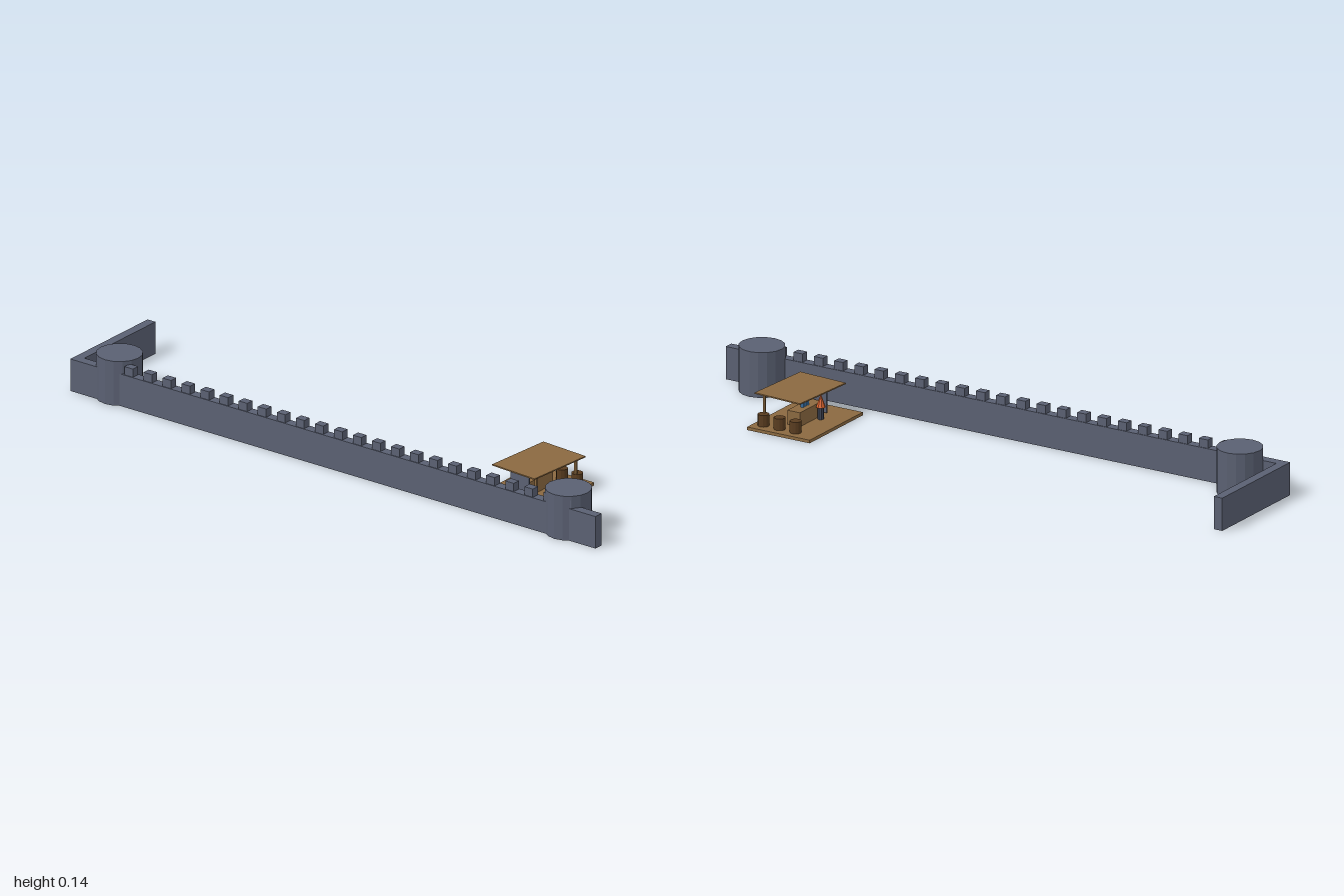
import * as THREE from 'three';

export function createModel() {
  const model = new THREE.Group();
  model.name = 'castleWallWithStall';

  const mat = (name, color) => {
    const m = new THREE.MeshStandardMaterial({ color });
    m.name = name;
    m.flatShading = true;
    return m;
  };
  const stone = mat('stone', 0x5a6072);
  const wood = mat('wood', 0x8b6940);
  const darkWood = mat('darkWood', 0x5a3d20);
  const blue = mat('blueGlass', 0x4a90d0);
  const orange = mat('orangeCloth', 0xd9622b);
  const darkCloth = mat('darkCloth', 0x3e4454);

  const add = (name, geo, material, x, y, z, parent = model) => {
    const mesh = new THREE.Mesh(geo, material);
    mesh.name = name;
    mesh.position.set(x, y, z);
    parent.add(mesh);
    return mesh;
  };
  // box given by its centre in x and z and its underside in y
  const box = (name, material, w, h, d, x, y, z, parent) =>
    add(name, new THREE.BoxGeometry(w, h, d), material, x, y + h / 2, z, parent);
  // cylinder or cone standing on y
  const cyl = (name, material, rTop, rBottom, h, sides, x, y, z, parent) =>
    add(name, new THREE.CylinderGeometry(rTop, rBottom, h, sides), material, x, y + h / 2, z, parent);

  // long wall and the return wall at the back
  box('longWall', stone, 0.031, 0.105, 2, -0.1685, 0, 0);
  box('backWall', stone, 0.384, 0.105, 0.03, 0.008, 0, -0.985);

  // battlements along the long wall
  const battlements = new THREE.Group();
  battlements.name = 'battlements';
  model.add(battlements);
  for (let i = 0; i < 25; i++) {
    box('merlon', stone, 0.026, 0.027, 0.032, -0.1685, 0.105, 0.888 - i * 0.0725, battlements);
  }

  // round towers at both ends
  for (const z of [0.855, -0.855]) {
    cyl('tower', stone, 0.0715, 0.0715, 0.145, 16, -0.1285, 0, z);
  }

  // market stall: floor, tilted roof board and posts
  const stall = new THREE.Group();
  stall.name = 'stall';
  model.add(stall);
  box('floor', wood, 0.3, 0.01, 0.224, 0.05, 0, 0.588, stall);
  const roof = box('roof', wood, 0.234, 0.004, 0.17, 0.05, 0.105, 0.605, stall);
  roof.rotation.y = -0.068;
  for (const x of [-0.047, 0.15]) {
    box('post', wood, 0.007, 0.095, 0.007, x, 0.01, 0.669, stall);
  }

  // counter and side panel
  box('counter', wood, 0.126, 0.045, 0.045, 0.051, 0.01, 0.588, stall);
  box('sidePanel', stone, 0.005, 0.071, 0.07, -0.0275, 0.014, 0.593, stall);

  // barrels on the right of the stall
  for (const z of [0.551, 0.608, 0.666]) {
    cyl('barrel', darkWood, 0.018, 0.018, 0.037, 12, 0.161, 0.01, z, stall);
  }

  // bottles on the counter
  for (const x of [0.0385, 0.0515, 0.0645]) {
    cyl('bottleBody', blue, 0.0065, 0.0065, 0.018, 8, x, 0.055, 0.588, stall);
    cyl('bottleNeck', blue, 0.003, 0.003, 0.015, 8, x, 0.073, 0.588, stall);
  }

  // stallkeeper behind the counter, with a pointed hood
  cyl('keeperBody', darkCloth, 0.01, 0.01, 0.038, 8, 0.019, 0.01, 0.551, stall);
  cyl('keeperHood', orange, 0, 0.015, 0.042, 8, 0.019, 0.048, 0.551, stall);

  return model;
}
